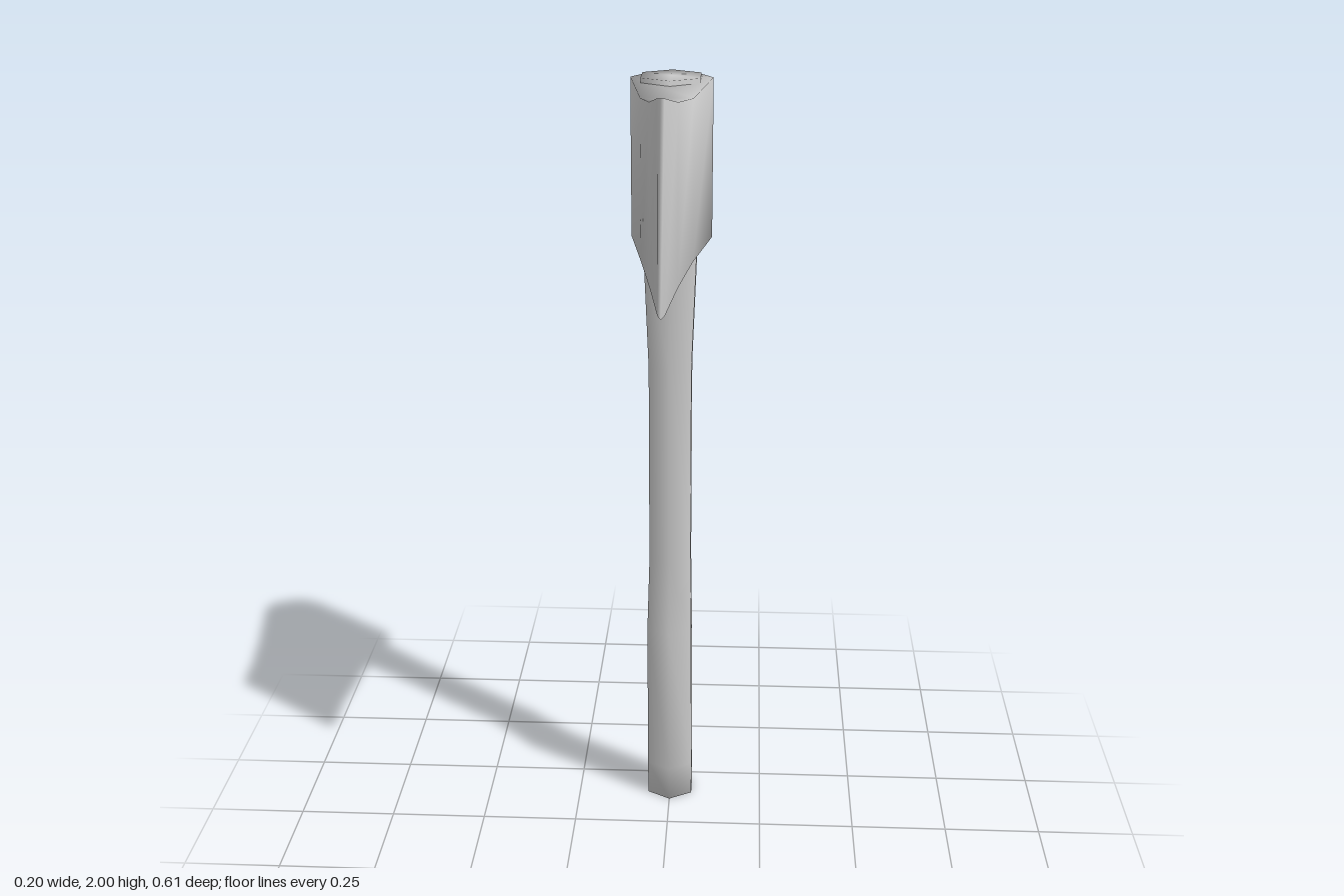
import * as THREE from 'three';
import { mergeVertices } from 'three/addons/utils/BufferGeometryUtils.js';

// Smooth skin over a series of closed rings, with optional end caps
function loft(rings, capped) {
  const n = rings[0].length;
  const pos = rings.flat(2);
  const index = [];
  for (let r = 0; r < rings.length - 1; r++) {
    for (let i = 0; i < n; i++) {
      const a = r * n + i, b = r * n + (i + 1) % n;
      index.push(a, b, a + n, b, b + n, a + n);
    }
  }
  if (capped) {
    [0, rings.length - 1].forEach((r) => {
      const c = pos.length / 3;
      for (let k = 0; k < 3; k++) pos.push(rings[r].reduce((s, p) => s + p[k], 0) / n);
      for (let i = 0; i < n; i++) {
        const a = r * n + i, b = r * n + (i + 1) % n;
        if (r === 0) index.push(c, b, a);
        else index.push(c, a, b);
      }
    });
  }
  let geo = new THREE.BufferGeometry();
  geo.setAttribute('position', new THREE.Float32BufferAttribute(pos, 3));
  geo.setIndex(index);
  geo = mergeVertices(geo, 1e-4);
  geo.computeVertexNormals();
  return geo;
}

export function createModel() {
  const group = new THREE.Group();
  group.name = 'axe';
  const material = new THREE.MeshStandardMaterial({ color: 0xcccccc });
  const add = (name, geo) => {
    const mesh = new THREE.Mesh(geo, material);
    mesh.name = name;
    group.add(mesh);
  };

  // Handle: six-sided sections [y, centre z, radius] with a kinked grip
  const handle = [
    [0, -0.18, 0.069],
    [0.1, -0.173, 0.069],
    [0.53, -0.143, 0.067],
    [0.72, -0.173, 0.062],
    [1.25, -0.175, 0.062],
    [1.57, -0.175, 0.076],
    [1.965, -0.198, 0.082],
  ].map(([y, z, r]) => Array.from({ length: 6 }, (_, i) => {
    const a = i * Math.PI / 3;
    return [r * Math.sin(a), y, z + r * Math.cos(a)];
  }));
  add('handle', loft(handle, true));

  // Head: sections from poll to cutting edge [z, half width, bottom, top]
  const head = [
    [-0.304, 0, 1.565, 1.955],
    [-0.275, 0.073, 1.565, 1.955],
    [-0.232, 0.1, 1.565, 1.955],
    [0.02, 0.061, 1.57, 1.95],
    [0.17, 0.032, 1.55, 1.968],
    [0.288, 0.008, 1.52, 1.997],
    [0.304, 0, 1.516, 2],
  ].map(([z, x, lo, hi]) => [[x, lo, z], [x, hi, z], [-x, hi, z], [-x, lo, z]]);
  add('axeHead', loft(head, false));

  return group;
}
